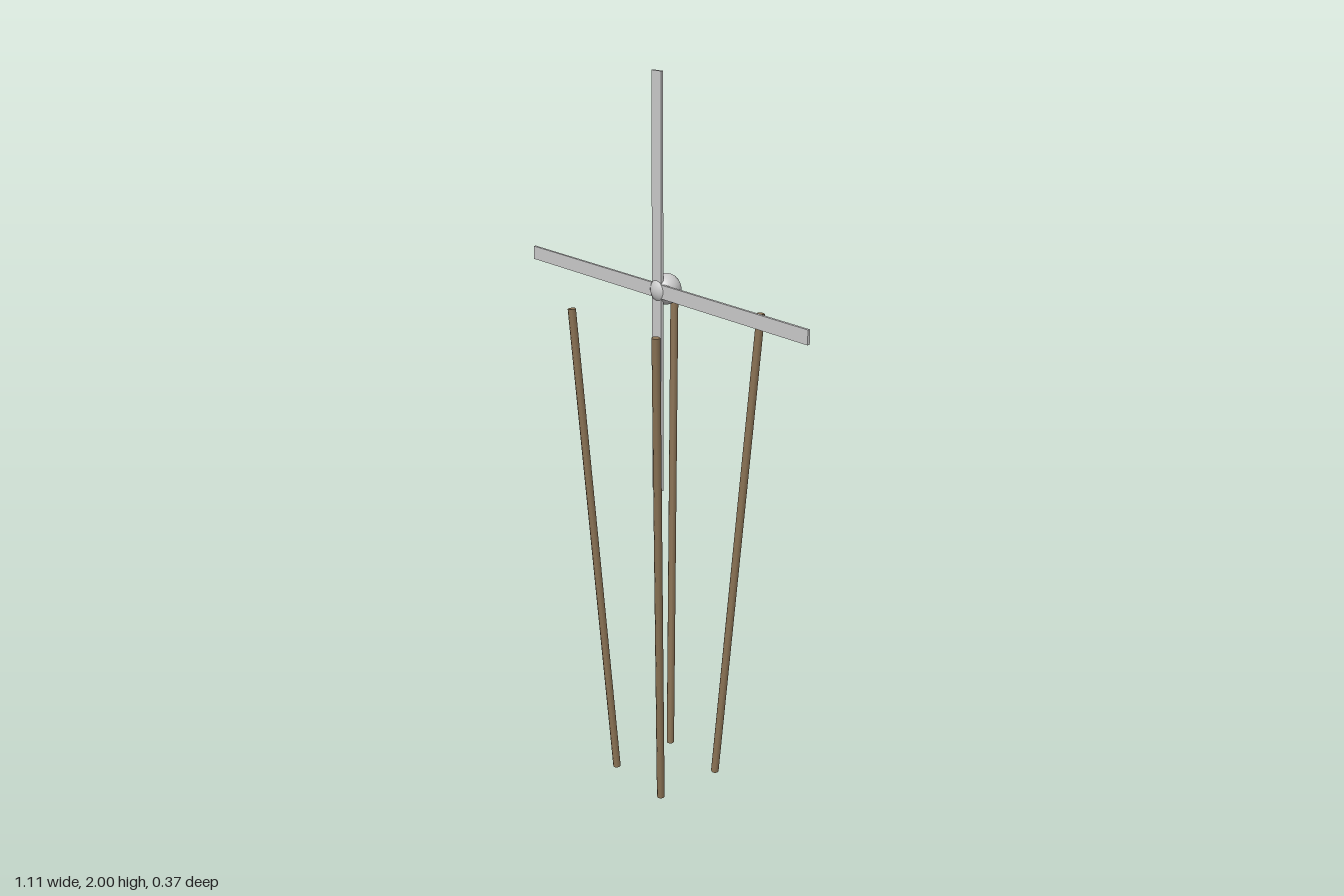
import * as THREE from 'three';

const HUB_Y = 1.447;

export function createModel() {
  const model = new THREE.Group();
  const metal = new THREE.MeshStandardMaterial({ color: 0xcccccc });
  const wood = new THREE.MeshStandardMaterial({ color: 0x8b7355 });
  const up = new THREE.Vector3(0, 1, 0);

  // Four poles leaning outward towards the top
  for (const sx of [-1, 1]) {
    for (const sz of [-1, 1]) {
      const foot = new THREE.Vector3(sx * 0.102, 0.001, sz * 0.102);
      const head = new THREE.Vector3(sx * 0.175, 1.387, sz * 0.175);
      const axis = head.clone().sub(foot);
      const leg = new THREE.Mesh(new THREE.CylinderGeometry(0.011, 0.011, axis.length(), 8), wood);
      leg.position.copy(foot).add(head).multiplyScalar(0.5);
      leg.quaternion.setFromUnitVectors(up, axis.normalize());
      leg.name = `${sz > 0 ? 'front' : 'back'}${sx > 0 ? 'Left' : 'Right'}Leg`;
      model.add(leg);
    }
  }

  // Rotor hub
  const hub = new THREE.Mesh(new THREE.SphereGeometry(0.041, 16, 16), metal);
  hub.position.y = HUB_Y;
  hub.name = 'hub';
  model.add(hub);

  // Two crossed flat blades just in front of the hub centre
  const blades = new THREE.Group();
  blades.name = 'blades';
  blades.position.set(0, HUB_Y, 0.027);
  ['horizontalBlade', 'verticalBlade'].forEach((name, i) => {
    const blade = new THREE.Mesh(new THREE.BoxGeometry(1.108, 0.037, 0.0074), metal);
    blade.rotation.z = i * Math.PI / 2;
    blade.name = name;
    blades.add(blade);
  });
  model.add(blades);

  return model;
}
